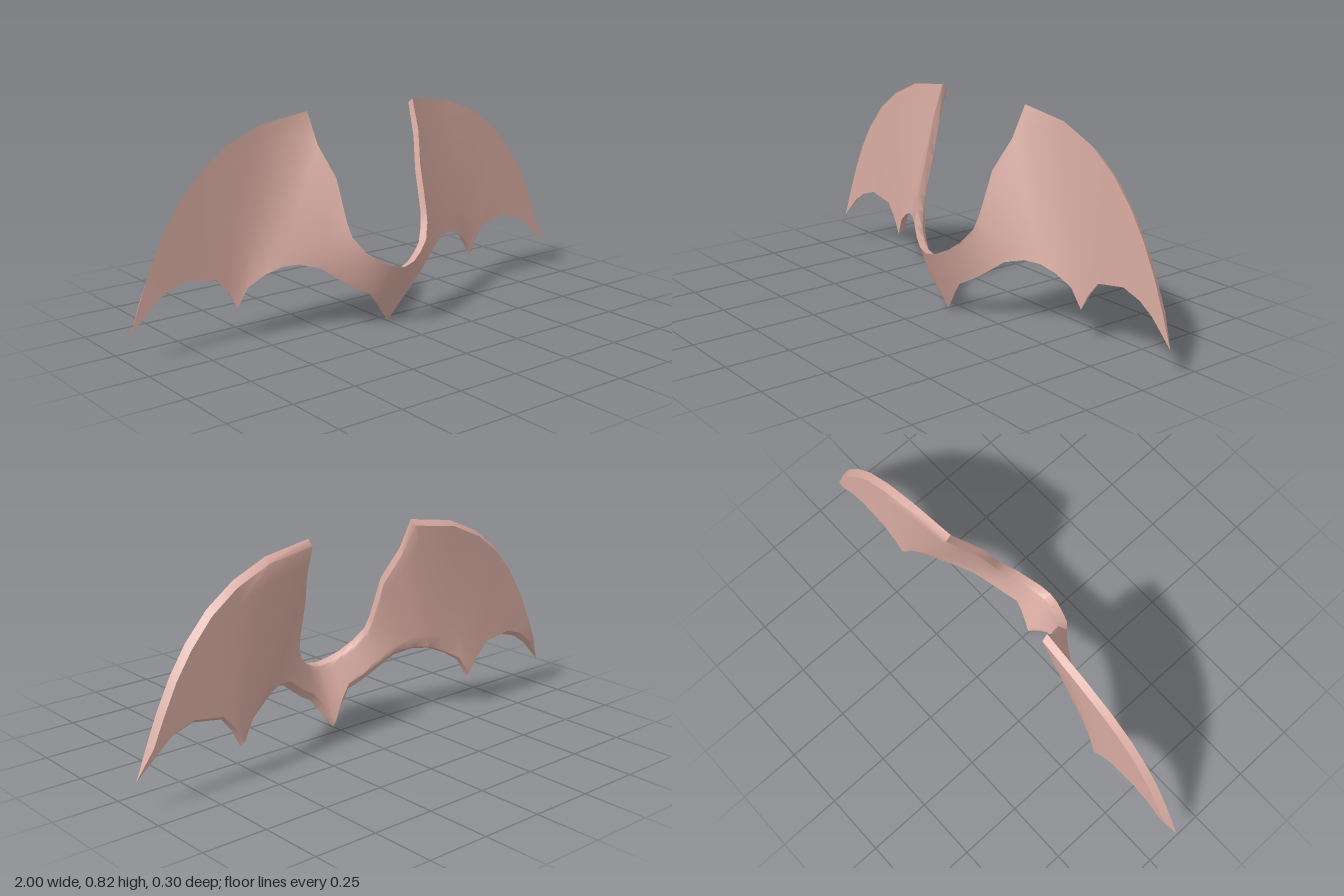
import * as THREE from 'three';
import { toCreasedNormals } from 'three/addons/utils/BufferGeometryUtils.js';

// Upper outline of one half: centre dip, inner wing edge, horn, outer arc, tip
const upper = [
  [0, 0.24, 0.15], [0.05, 0.25, 0.142], [0.1, 0.275, 0.122], [0.145, 0.31, 0.1], [0.18, 0.365, 0.065],
  [0.19, 0.42, 0.045], [0.2, 0.58, -0.005], [0.24, 0.7, -0.065], [0.25, 0.82, -0.115], [0.45, 0.79, -0.125],
  [0.59, 0.73, -0.127], [0.7, 0.65, -0.127], [0.79, 0.55, -0.127], [0.855, 0.45, -0.127],
  [0.91, 0.34, -0.127], [0.955, 0.23, -0.126], [1, 0.11, -0.124],
];
// Lower outline: centre point, scallop, spike, scallop, tip
const lower = [
  [0, 0, 0.045], [0.06, 0.08, 0.06], [0.1, 0.13, 0.068], [0.155, 0.16, 0.048], [0.22, 0.205, 0.025],
  [0.28, 0.25, 0], [0.35, 0.27, -0.035], [0.41, 0.265, -0.062], [0.47, 0.24, -0.085], [0.53, 0.2, -0.105],
  [0.57, 0.125, -0.118], [0.605, 0.19, -0.12], [0.65, 0.245, -0.123], [0.77, 0.265, -0.125],
  [0.85, 0.24, -0.125], [0.91, 0.2, -0.125], [1, 0.11, -0.124],
];
const LAST = upper.length - 1;
const ROWS = 8;
const THICKNESS = 0.026;
const INSET = 0.02;

// Grid of quads between consecutive columns; closed joins each column into a ring
function skin(columns, closed) {
  const n = columns[0].length;
  const index = [];
  for (let i = 0; i < columns.length - 1; i++) {
    for (let j = 0; j < (closed ? n : n - 1); j++) {
      const k = (j + 1) % n;
      const a = i * n + j, b = a + n, c = i * n + k, d = c + n;
      index.push(a, b, d, a, d, c);
    }
  }
  const geometry = new THREE.BufferGeometry().setFromPoints(columns.flat());
  geometry.setIndex(index);
  geometry.computeVertexNormals();
  return geometry;
}

function wingShell() {
  // Front sheet: straight columns from the lower to the upper outline, mirrored across x
  const front = [];
  for (let i = -LAST; i <= LAST; i++) {
    const mirror = new THREE.Vector3(i < 0 ? -1 : 1, 1, 1);
    const low = new THREE.Vector3(...lower[Math.abs(i)]).multiply(mirror);
    const high = new THREE.Vector3(...upper[Math.abs(i)]).multiply(mirror);
    front.push(Array.from({ length: ROWS + 1 }, (_, j) => low.clone().lerp(high, j / ROWS)));
  }
  const normals = skin(front, false).getAttribute('normal');

  // Back sheet: pushed back along the normals and drawn in at both edges
  const rings = front.map((column, c) => {
    const low = column[0], high = column[ROWS];
    const length = low.distanceTo(high);
    const edge = length > 0 ? Math.min(INSET / length, 0.25) : 0;
    const depth = Math.abs(c - LAST) === LAST ? 0 : THICKNESS;
    const back = column.map((_, j) => {
      const t = edge + (1 - 2 * edge) * j / ROWS;
      const normal = new THREE.Vector3().fromBufferAttribute(normals, c * (ROWS + 1) + j);
      return low.clone().lerp(high, t).addScaledVector(normal, -depth);
    });
    return [...column, ...back.reverse()];
  });
  return toCreasedNormals(skin(rings, true), 0.9);
}

export function createModel() {
  const group = new THREE.Group();
  group.name = 'batWings';
  const material = new THREE.MeshStandardMaterial({ color: 0xd9aca2 });
  const wings = new THREE.Mesh(wingShell(), material);
  wings.name = 'wings';
  group.add(wings);
  return group;
}
